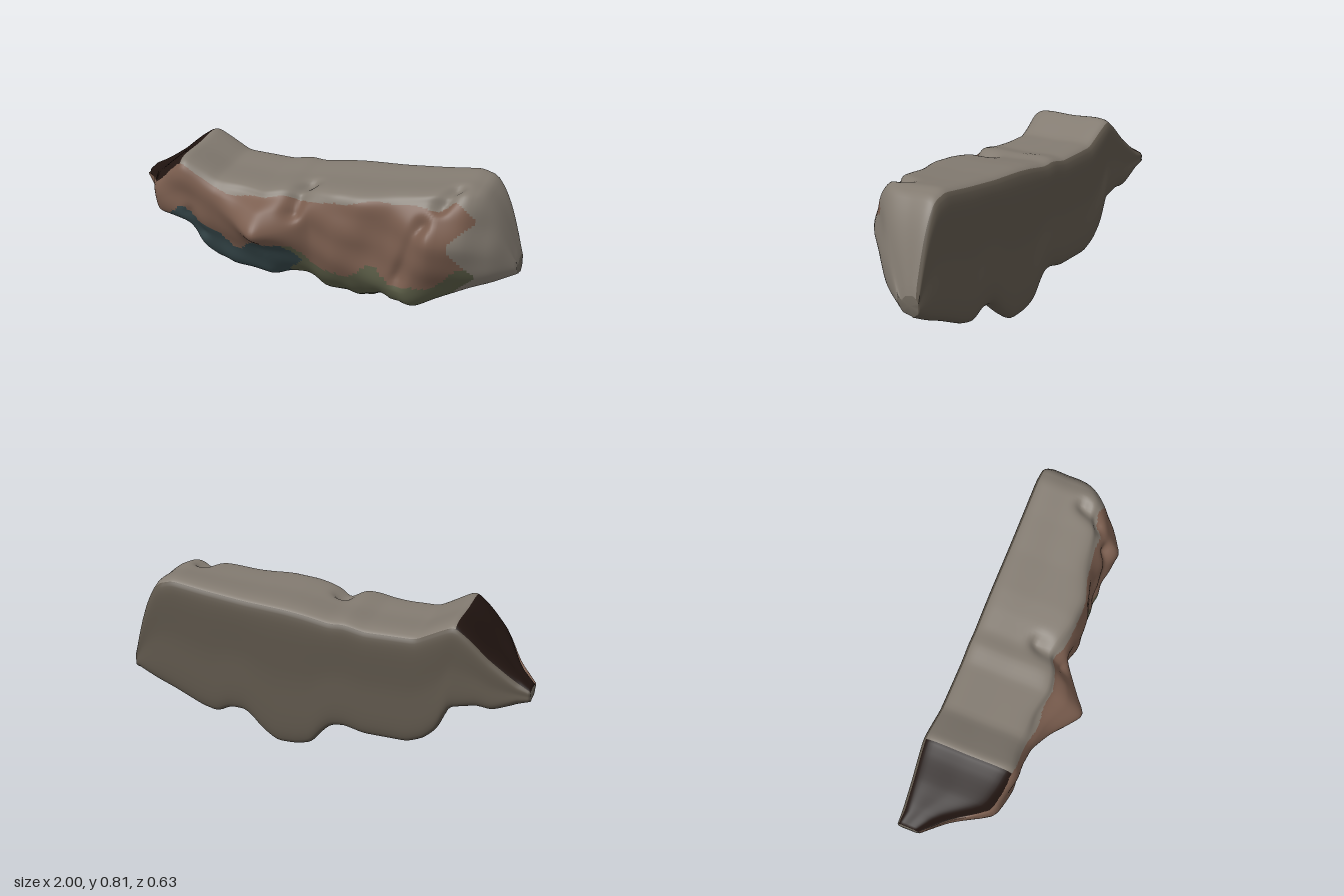
import * as THREE from 'three';

// Outline seen from the front: [x, y] along the crest and along the underside
const CREST = [[-1, 0.53], [-0.9, 0.59], [-0.8, 0.66], [-0.7, 0.75], [-0.63, 0.8], [-0.56, 0.765], [-0.45, 0.705],
  [-0.2, 0.7], [-0.1, 0.722], [-0.03, 0.715], [0.1, 0.738], [0.2, 0.75], [0.4, 0.763], [0.6, 0.785], [0.78, 0.81],
  [0.86, 0.785], [0.92, 0.68], [0.97, 0.52], [1, 0.39]];
const UNDERSIDE = [[-1, 0.47], [-0.9, 0.42], [-0.82, 0.385], [-0.75, 0.395], [-0.61, 0.36], [-0.57, 0.24], [-0.5, 0.17],
  [-0.42, 0.135], [-0.2, 0.135], [-0.1, 0.16], [-0.03, 0.15], [0.02, 0.1], [0.07, 0.03], [0.15, 0.008], [0.25, 0.005],
  [0.33, 0.06], [0.38, 0.12], [0.42, 0.15], [0.5, 0.15], [0.57, 0.11], [0.65, 0.13], [0.8, 0.2], [0.9, 0.24], [1, 0.29]];
// Front face: [x, brow z, bulge z, bulge y, lower z, lower y, foot z, foot rise]
const FACE = [
  [-1, -0.19, -0.18, 0.5, -0.19, 0.49, -0.2, 0.005],
  [-0.9, -0.08, -0.065, 0.52, -0.08, 0.47, -0.12, 0.02],
  [-0.8, 0.1, 0.12, 0.54, 0.09, 0.46, 0.02, 0.03],
  [-0.62, 0.152, 0.155, 0.62, 0.14, 0.46, 0.05, 0.04],
  [-0.45, 0.135, 0.15, 0.55, 0.09, 0.36, 0.01, 0.06],
  [-0.32, 0.14, 0.22, 0.54, 0.12, 0.37, 0.02, 0.06],
  [-0.18, 0.155, 0.32, 0.52, 0.17, 0.395, 0.03, 0.05],
  [-0.04, 0.13, 0.21, 0.53, 0.14, 0.38, 0, 0.06],
  [0.05, 0.115, 0.14, 0.55, 0.11, 0.35, -0.01, 0.12],
  [0.17, 0.14, 0.165, 0.5, 0.12, 0.3, 0, 0.16],
  [0.3, 0.135, 0.15, 0.5, 0.12, 0.3, 0.01, 0.14],
  [0.45, 0.1, 0.115, 0.5, 0.125, 0.29, 0.08, 0.05],
  [0.53, 0.085, 0.145, 0.53, 0.135, 0.28, 0.1, 0.07],
  [0.65, 0.06, 0.188, 0.57, 0.1, 0.34, 0, 0.08],
  [0.8, 0.02, 0.085, 0.53, 0.01, 0.35, -0.08, 0.06],
  [0.92, -0.09, -0.055, 0.45, -0.08, 0.36, -0.15, 0.04],
  [1, -0.22, -0.2, 0.35, -0.21, 0.33, -0.23, 0.015]];
// Crevices: start point, end point, width, depth
const CREVICES = [
  [[0.5, 0.34, 0.12], [0.61, 0.66, 0.13], 0.035, 0.04],
  [[-0.03, 0.62, 0.17], [0.01, 0.73, 0.02], 0.04, 0.045],
  [[0.68, 0.74, 0.07], [0.73, 0.8, -0.04], 0.035, 0.035],
  [[-0.6, 0.5, 0.15], [-0.55, 0.38, 0.1], 0.03, 0.02],
].map(([a, b, width, depth]) => ({ line: new THREE.Line3(new THREE.Vector3(...a), new THREE.Vector3(...b)), width, depth }));

const ROWS = 160, RING = 130, CONTROLS = 13;
const { lerp, clamp, smoothstep } = THREE.MathUtils;

// Piecewise interpolation, softened over a small window
function sample(keys, x, col = 1) {
  const at = (v) => {
    let k = 0;
    while (k < keys.length - 2 && keys[k + 1][0] < v) k++;
    const a = keys[k], b = keys[k + 1];
    return lerp(a[col], b[col], clamp((v - a[0]) / (b[0] - a[0]), 0, 1));
  };
  const w = Math.min(0.022, 1 - Math.abs(x));
  return (at(x - w) + 2 * at(x) + at(x + w)) / 4;
}

// Closed cross-section at x: up the flat back, over the crest, down the face, under the foot
function section(x) {
  const top = sample(CREST, x), bottom = sample(UNDERSIDE, x);
  const [brow, bulge, bulgeY, lower, lowerY, foot, rise] = [1, 2, 3, 4, 5, 6, 7].map((c) => sample(FACE, x, c));
  const back = -0.302 - 0.01 * x, h = top - bottom, r = Math.min(0.032, h * 0.25);
  const footY = bottom + rise;
  const points = [
    [back, bottom + r], [back, (top + bottom) / 2], [back, top - r], [back + r, top],
    [(back + brow) / 2, top - r * 0.1], [brow - r, top - r * 0.35], [brow, top - r * 1.3],
    [(brow + bulge) / 2 + 0.008, (top + bulgeY) / 2], [bulge, bulgeY],
    [lower, Math.max(lowerY, footY + r * 0.5)], [foot, footY],
    [lerp(foot, back, 0.55), lerp(footY, bottom, 0.65)], [back + r, bottom]];
  return new THREE.CatmullRomCurve3(points.map(([z, y]) => new THREE.Vector3(x, y, z)), true, 'centripetal');
}

// Press crevices inward and add a gentle weathered ripple to the face
function weather(p) {
  const front = smoothstep(p.z, -0.2, 0);
  const near = new THREE.Vector3(), inward = new THREE.Vector3(0, 0.45 - p.y, -0.15 - p.z).normalize();
  let push = 0;
  for (const { line, width, depth } of CREVICES) {
    line.closestPointToPoint(p, true, near);
    push += depth * Math.exp(-near.distanceToSquared(p) / (width * width));
  }
  p.z += front * 0.006 * Math.sin(p.x * 19 + p.y * 11) * Math.sin(p.y * 23 - p.x * 7);
  return p.addScaledVector(inward, push);
}

// Which part of the rock a surface patch belongs to
function partAt(x, u) {
  const wave = 0.25 * Math.sin(x * 13) + 0.12 * Math.sin(x * 31);
  if (u < 2.5 || u > 11.5) return 'flatBack';
  if (u < 6 + wave) return x < -0.64 ? 'darkEndFacet' : 'crest';
  if (x > 0.78 + 0.05 * Math.sin(u * 3)) return 'crest';
  if (u < 8.8 + wave) return 'rustyFace';
  return x < -0.05 + 0.04 * Math.sin(u * 5) ? 'blueUnderside' : 'mossyUnderside';
}

export function createModel() {
  const group = new THREE.Group();
  group.name = 'rockLedge';
  const positions = [], parts = {};
  const colors = { flatBack: 0x5e564b, crest: 0x837b71, darkEndFacet: 0x201410, rustyFace: 0x7a5d4e,
    blueUnderside: 0x36474a, mossyUnderside: 0x5a5c46, endCaps: 0x6b645a };
  const add = (name, ...corners) => (parts[name] ??= []).push(...corners);

  // Skin made of cross-sections from the right end to the left end
  for (let i = 0; i <= ROWS; i++) {
    const curve = section(-1 + (2 * i) / ROWS);
    for (let j = 0; j < RING; j++) positions.push(...weather(curve.getPoint(j / RING)).toArray());
  }
  for (let i = 0; i < ROWS; i++) {
    for (let j = 0; j < RING; j++) {
      const a = i * RING + j, b = i * RING + (j + 1) % RING, c = a + RING, d = b + RING;
      add(partAt(-1 + (2 * i) / ROWS, (j / RING) * CONTROLS), a, b, c, b, d, c);
    }
  }

  // Small caps closing both ends
  for (const [row, y, z] of [[0, 0.5, -0.24], [ROWS, 0.34, -0.265]]) {
    const center = positions.length / 3, s = row * RING;
    positions.push(row ? 1 : -1, y, z);
    for (let j = 0; j < RING; j++) {
      const a = s + j, b = s + (j + 1) % RING;
      add('endCaps', ...(row ? [center, a, b] : [center, b, a]));
    }
  }

  // Shared smooth normals keep the parts seamless
  const skin = new THREE.BufferGeometry();
  skin.setAttribute('position', new THREE.Float32BufferAttribute(positions, 3));
  skin.setIndex(Object.values(parts).flat());
  skin.computeVertexNormals();
  for (const [name, index] of Object.entries(parts)) {
    const geometry = new THREE.BufferGeometry();
    geometry.setAttribute('position', skin.attributes.position);
    geometry.setAttribute('normal', skin.attributes.normal);
    geometry.setIndex(index);
    const mesh = new THREE.Mesh(geometry, new THREE.MeshStandardMaterial({ color: colors[name] }));
    mesh.name = name;
    group.add(mesh);
  }
  return group;
}
